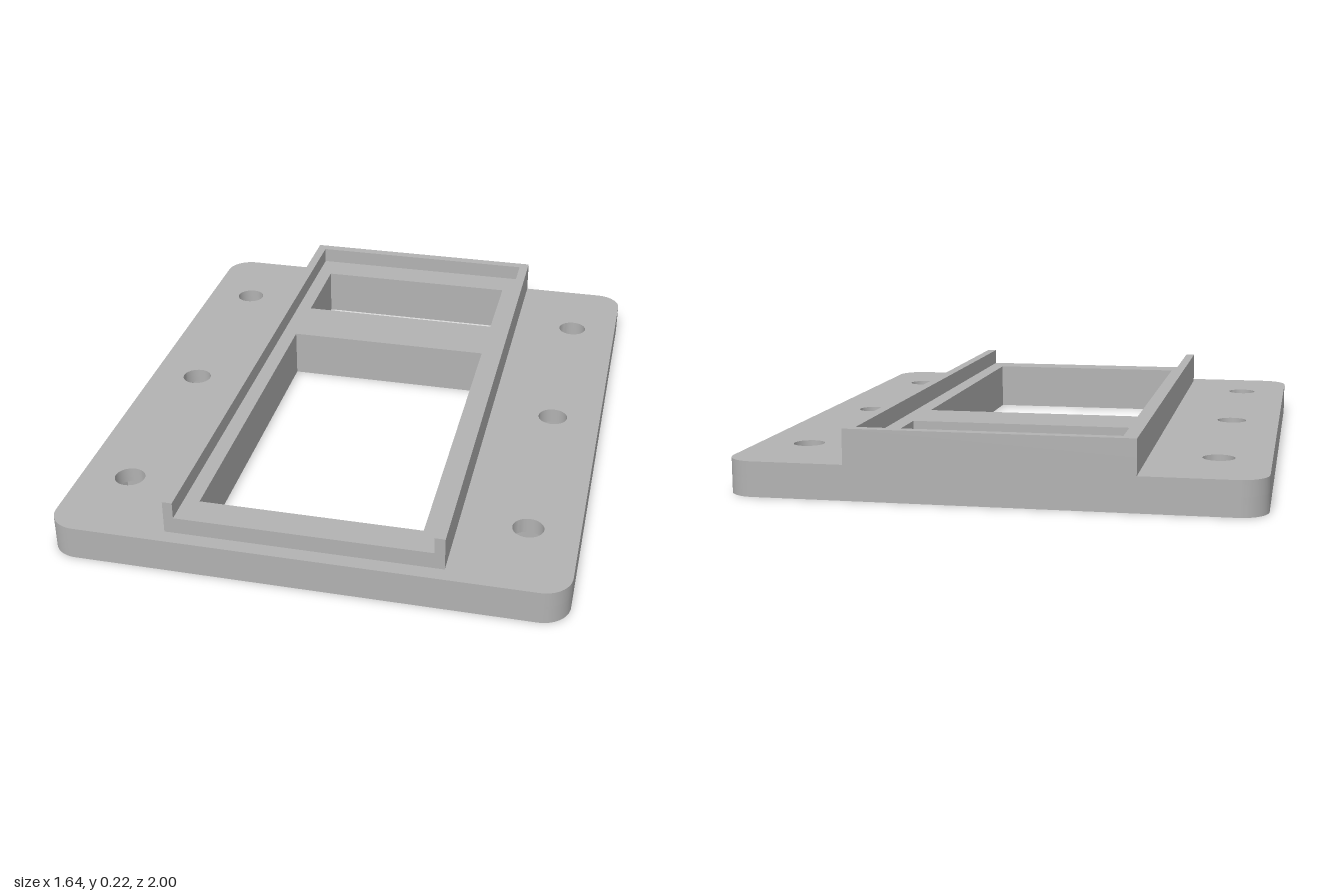
import * as THREE from 'three';
import { toCreasedNormals } from 'three/addons/utils/BufferGeometryUtils.js';

const BASE_TOP = 0.11, POCKET_TOP = 0.06, FLOOR_TOP = 0.165, RIM_TOP = 0.22;

// Closed rectangle in plan: first coordinate x, second z
function rect(x0, x1, z0, z1, Type = THREE.Path) {
  const p = new Type();
  p.moveTo(x0, z0).lineTo(x1, z0).lineTo(x1, z1).lineTo(x0, z1).closePath();
  return p;
}

function roundedPlate(w, d, r) {
  const s = new THREE.Shape();
  s.absarc(w - r, d - r, r, 0, Math.PI / 2);
  s.absarc(-w + r, d - r, r, Math.PI / 2, Math.PI);
  s.absarc(-w + r, -d + r, r, Math.PI, Math.PI * 1.5);
  s.absarc(w - r, -d + r, r, Math.PI * 1.5, Math.PI * 2);
  s.closePath();
  return s;
}

// Regular polygon opening with a corner on the x axis
function polygon(x, z, r, sides) {
  const pts = [];
  for (let i = 0; i < sides; i++) {
    const a = (i / sides) * Math.PI * 2;
    pts.push(new THREE.Vector2(x + r * Math.cos(a), z + r * Math.sin(a)));
  }
  return new THREE.Path(pts);
}

const windows = () => [rect(-0.36, 0.355, -0.85, -0.525), rect(-0.36, 0.355, -0.305, 0.845)];

function boltOpenings(r, sides) {
  const out = [];
  for (const x of [-0.657, 0.657]) for (const z of [-0.685, 0, 0.685]) out.push(polygon(x, z, r, sides));
  return out;
}

export function createModel() {
  const model = new THREE.Group();
  model.name = 'mountingPlate';
  const grey = new THREE.MeshStandardMaterial({ color: 0xb2b2b2 });
  grey.name = 'plain grey';

  // Extrude a plan shape between two heights
  function slab(name, shape, holes, y0, y1) {
    shape.holes.push(...holes);
    const g = new THREE.ExtrudeGeometry(shape, { depth: y1 - y0, bevelEnabled: false, curveSegments: 10 });
    g.rotateX(Math.PI / 2).translate(0, y1, 0);
    const mesh = new THREE.Mesh(toCreasedNormals(g, 0.5), grey);
    mesh.name = name;
    model.add(mesh);
  }

  // Base: hexagonal nut pockets below, round bolt holes above
  slab('nutPocketLayer', roundedPlate(0.82, 1, 0.09), [...windows(), ...boltOpenings(0.098, 6)], 0, POCKET_TOP);
  slab('boltHoleLayer', roundedPlate(0.82, 1, 0.09), [...windows(), ...boltOpenings(0.05, 32)], POCKET_TOP, BASE_TOP);

  // Raised floor of the tray, with the same two windows
  slab('trayFloor', rect(-0.443, 0.44, -1, 0.95, THREE.Shape), windows(), BASE_TOP, FLOOR_TOP);

  // U-shaped rim, open at the front
  const rim = new THREE.Shape([
    [-0.443, -1], [0.44, -1], [0.44, 0.95], [0.407, 0.95],
    [0.407, -0.965], [-0.411, -0.965], [-0.411, 0.95], [-0.443, 0.95],
  ].map(([x, z]) => new THREE.Vector2(x, z)));
  slab('trayRim', rim, [], FLOOR_TOP, RIM_TOP);

  return model;
}
